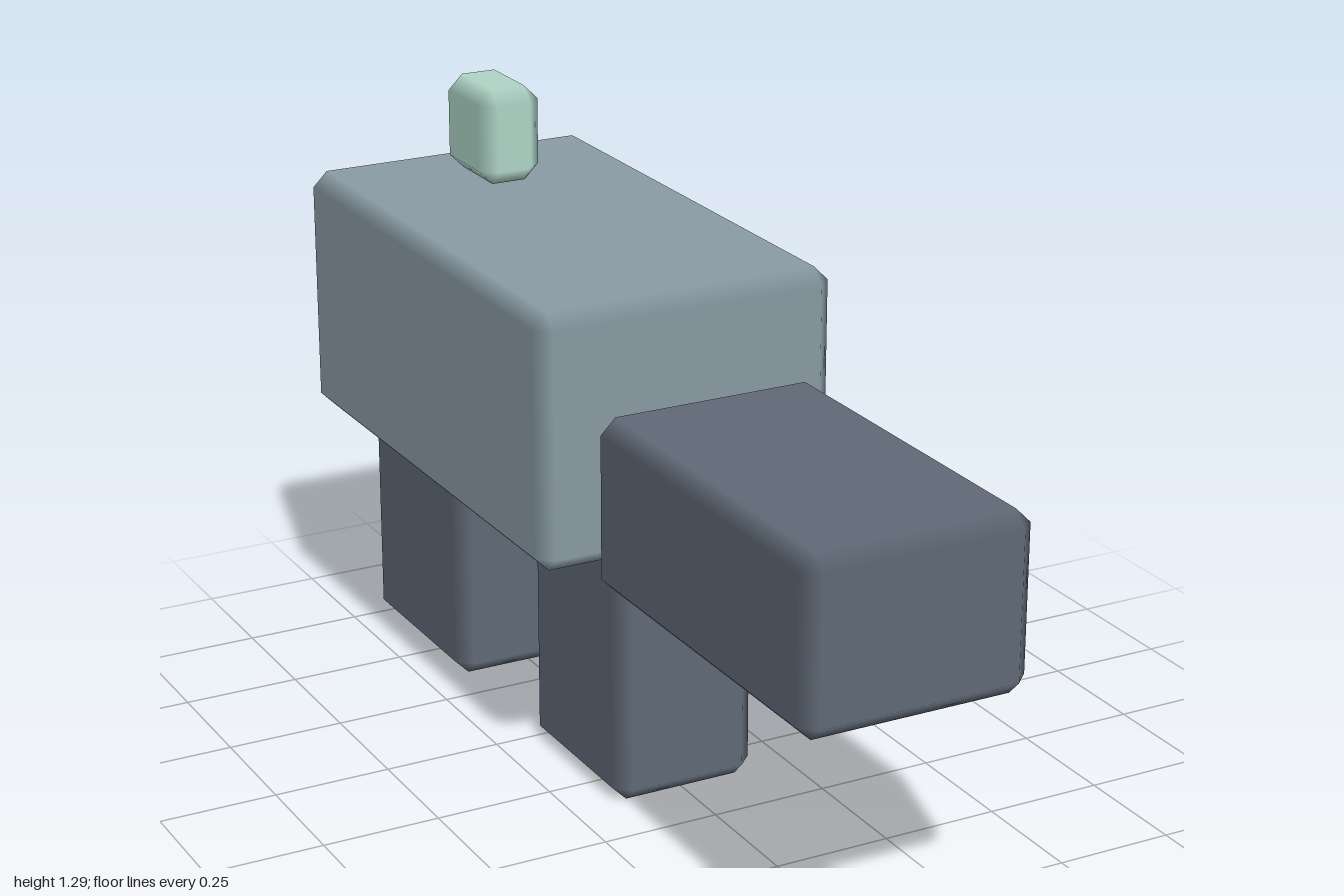
import * as THREE from 'three';
import { ConvexGeometry } from 'three/addons/geometries/ConvexGeometry.js';

const BEVEL = 0.032;

// Box with one-step bevels; normals blend smoothly across each bevel
function bevelledBox(w, h, d) {
  const half = [w / 2, h / 2, d / 2];
  const points = [];
  for (let axis = 0; axis < 3; axis++)
    for (const sx of [-1, 1]) for (const sy of [-1, 1]) for (const sz of [-1, 1]) {
      const p = [sx, sy, sz].map((s, i) => s * (half[i] - (i === axis ? 0 : BEVEL)));
      points.push(new THREE.Vector3(...p));
    }
  const geometry = new ConvexGeometry(points);
  const { position, normal } = geometry.attributes;
  for (let i = 0; i < position.count; i++) {
    const p = [position.getX(i), position.getY(i), position.getZ(i)];
    // each corner point takes the normal of the flat face it belongs to
    const n = p.map((v, k) => (Math.abs(v) > half[k] - BEVEL / 2 ? Math.sign(v) : 0));
    normal.setXYZ(i, ...n);
  }
  return geometry;
}

export function createModel() {
  const model = new THREE.Group();
  model.name = 'blockAnimal';

  const material = (name, color) => {
    const m = new THREE.MeshStandardMaterial({ color });
    m.name = name;
    return m;
  };
  const bodyGrey = material('blueGreyBody', 0x8a9ca5);
  const darkGrey = material('darkSlate', 0x606a77);
  const mint = material('paleMint', 0xb0d6c8);

  // name, material, half width, y range, z range
  const parts = [
    ['body', bodyGrey, 0.328, 0.54, 1.075, -0.99, 0.135],
    ['head', darkGrey, 0.241, 0.523, 0.885, 0.19, 1.0],
    ['frontLeg', darkGrey, 0.158, 0, 0.64, -0.262, 0.133],
    ['backLeg', darkGrey, 0.19, 0.012, 0.665, -1.0, -0.552],
    ['tail', mint, 0.07, 1.086, 1.292, -0.845, -0.638],
  ];
  for (const [name, mat, hw, y0, y1, z0, z1] of parts) {
    const mesh = new THREE.Mesh(bevelledBox(hw * 2, y1 - y0, z1 - z0), mat);
    mesh.name = name;
    mesh.position.set(0, (y0 + y1) / 2, (z0 + z1) / 2);
    model.add(mesh);
  }
  return model;
}
